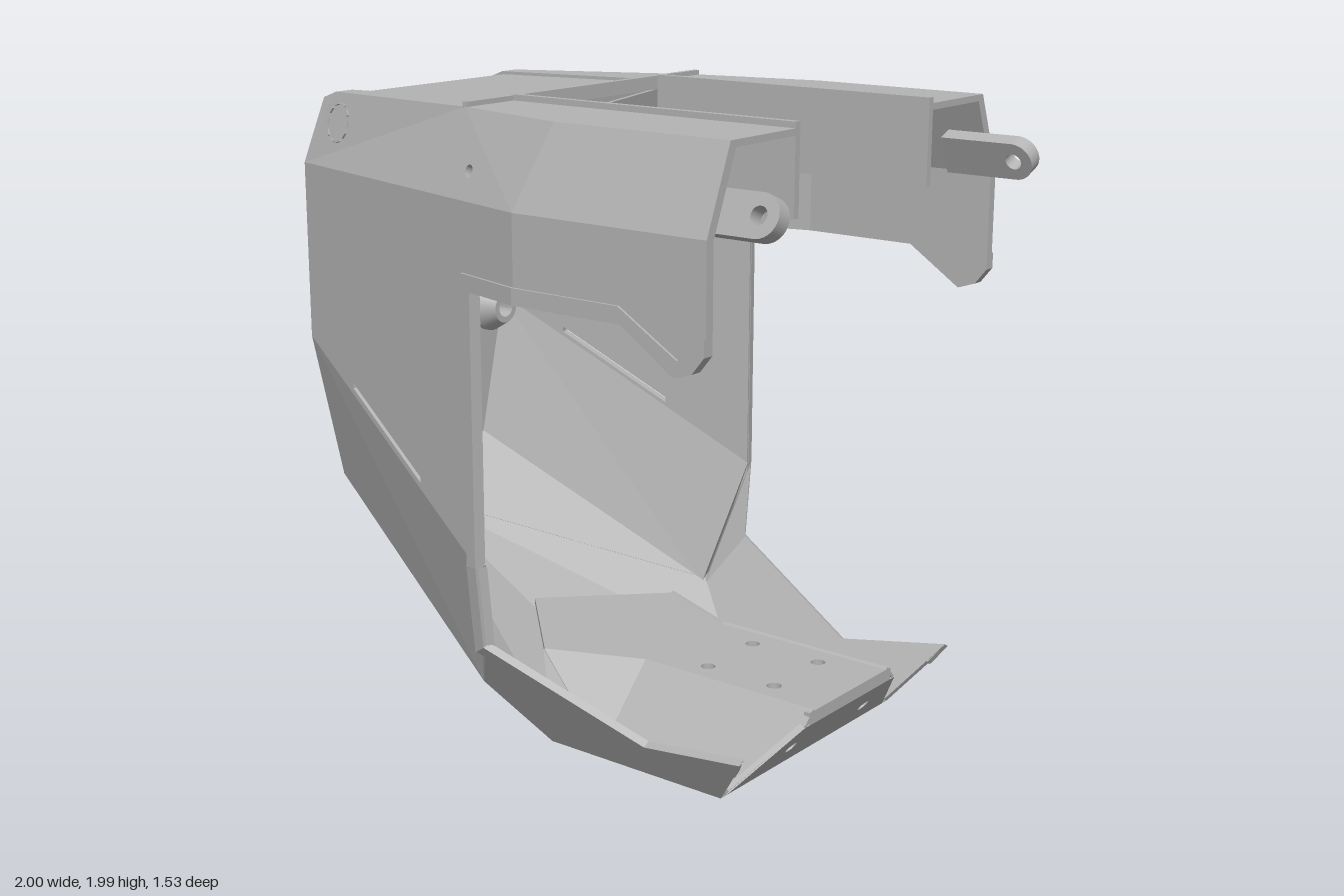
import * as THREE from 'three';
import { toCreasedNormals } from 'three/addons/utils/BufferGeometryUtils.js';

const V = (x, y, z) => new THREE.Vector3(x, y, z);
const CENTRE = V(-0.1, 1, 0);
const T = 0.03;

export function createModel() {
  const root = new THREE.Group();
  root.name = 'shell';
  const grey = new THREE.MeshStandardMaterial({ color: 0xb3b3b3 });
  grey.name = 'plain grey';

  const add = (name, geo) => {
    const m = new THREE.Mesh(geo, grey);
    m.name = name;
    root.add(m);
    return m;
  };

  // flat slab: outer face on the given corners, thickness going into the shell
  function panel(name, corners, holes = [], t = T) {
    const p = corners.map(c => V(...c));
    const n = V(0, 0, 0), mid = V(0, 0, 0);
    p.forEach((a, i) => {
      n.add(V(0, 0, 0).crossVectors(a, p[(i + 1) % p.length]));
      mid.addScaledVector(a, 1 / p.length);
    });
    n.normalize();
    if (n.dot(mid.clone().sub(CENTRE)) < 0) n.negate();
    const u = p[1].clone().sub(p[0]);
    u.addScaledVector(n, -u.dot(n)).normalize();
    const v = V(0, 0, 0).crossVectors(n, u);
    const flat = a => {
      const d = a.clone().sub(mid);
      return new THREE.Vector2(d.dot(u), d.dot(v));
    };
    const shape = new THREE.Shape(p.map(flat));
    holes.forEach(h => shape.holes.push(new THREE.Path(h.map(c => flat(V(...c))))));
    const geo = new THREE.ExtrudeGeometry(shape, { depth: t, bevelEnabled: false });
    geo.applyMatrix4(new THREE.Matrix4().makeBasis(u, v, n).setPosition(mid.addScaledVector(n, -t)));
    return add(name, geo);
  }
  const flip = list => list.map(([x, y, z]) => [x, y, -z]);
  const pair = (name, pts, holes = [], t = T) => {
    panel(name + 'Left', pts, holes, t);
    panel(name + 'Right', flip(pts), holes.map(flip), t);
  };
  // closed outline from one half plus its mirror image
  const whole = half => [...half, ...flip(half).reverse().filter(c => Math.abs(c[2]) > 1e-6)];
  const circle = (r, f, n = 20) => Array.from({ length: n }, (_, i) => {
    const a = i / n * Math.PI * 2;
    return f(r * Math.cos(a), r * Math.sin(a));
  });
  const box = (name, x0, x1, y0, y1, z0, z1) => {
    const g = new THREE.BoxGeometry(x1 - x0, y1 - y0, z1 - z0);
    g.translate((x0 + x1) / 2, (y0 + y1) / 2, (z0 + z1) / 2);
    return add(name, g);
  };

  // side walls, flaring until x = 0.15 and then parallel
  const wide = x => 0.46 + 0.257 * (Math.min(x, 0.15) + 1);
  const side = (pts, out = 0) => pts.map(([x, y]) => [x, y, wide(x) + out]);
  const slot = side([[-0.745, 1.045], [-0.36, 0.828], [-0.36, 0.81], [-0.745, 1.027]]);
  pair('sideWall', side([[-1, 1.72], [-1, 1.15], [-0.06, 0.62], [-0.06, 1.46], [0.15, 1.46], [0.15, 1.72]]), [slot]);
  pair('hoodSide', side([[0.15, 1.72], [0.15, 1.46], [0.54, 1.46], [0.72, 1.34], [0.78, 1.36],
    [0.82, 1.41], [0.82, 1.72]]));

  // chamfer between side walls and roof
  const A0 = [-1, 1.72, 0.46], A1 = [0.15, 1.72, wide(0.15)], A2 = [0.82, 1.72, wide(1)];
  const C0 = [-0.93, 1.93, 0.43], B0 = [-0.88, 1.95, 0.425], B1 = [-0.2, 1.967, 0.56];
  const B2 = [0.22, 1.967, 0.655], B3 = [0.82, 1.967, 0.655];
  pair('chamferCorner', [A0, C0, B0]);
  pair('chamferRear', [A0, B0, B1]);
  pair('chamferMiddle', [A0, B1, A1], [circle(0.018, (a, b) => [-0.1 + a, 1.8 + b, 0.657 - 0.43 * b + 0.257 * a])]);
  pair('chamferFold', [A1, B1, B2]);
  pair('chamferFront', [A1, B2, B3, A2]);

  // lower side panels and keel
  const R = [-1, 0.65, 0.34], Q = [-0.16, 0.19, 0.572], P = [0.02, 0, 0.46];
  const K0 = [-1, 0.47, 0], K1 = [-0.16, 0, 0], S = [-0.06, 0.62, 0.7], E = [-0.06, 0.36, 0.672];
  pair('lowerSideRear', [[-1, 1.15, 0.46], R, Q]);
  pair('lowerSideFront', [[-1, 1.15, 0.46], Q, S]);
  pair('lowerSideCorner', [S, Q, E]);
  pair('keelInner', [K0, K1, P]);
  pair('keelMiddle', [K0, P, Q]);
  pair('keelOuter', [K0, Q, R]);
  const low = (pts, out = 0) => pts.map(([x, y]) => [x, y, 0.46 + 0.588 * y + out]);
  pair('chinWing', low([[-0.16, 0.19], [0.02, 0], [0.67, 0], [0.82, 0.19], [0.45, 0.13], [-0.06, 0.36]]), [], 0.02);

  // raised rim round each side opening
  const o = 0.008;
  pair('rimRear', side([[-0.105, 0.62], [-0.06, 0.62], [-0.06, 1.46], [-0.105, 1.51]], o));
  pair('rimTop', side([[-0.105, 1.51], [-0.06, 1.46], [0.15, 1.46], [0.15, 1.51]], o));
  pair('rimHood', side([[0.15, 1.51], [0.15, 1.46], [0.54, 1.46], [0.72, 1.34], [0.78, 1.36], [0.82, 1.41],
    [0.82, 1.46], [0.77, 1.41], [0.73, 1.39], [0.53, 1.51]], o));
  pair('rimCorner', [[-0.105, 0.33], [-0.06, 0.36], [-0.06, 0.62], [-0.105, 0.62]]
    .map(([x, y]) => [x, y, 0.672 + 0.11 * (y - 0.36) + 0.2 * (x + 0.06) + o]));
  pair('rimChin', low([[-0.105, 0.33], [-0.06, 0.36], [0.45, 0.13], [0.82, 0.19], [0.78, 0.13], [0.45, 0.08]], o), [], 0.025);

  // rear wall with its stepped opening and lobes for the bosses
  const lobe = Array.from({ length: 9 }, (_, i) => {
    const a = Math.PI * (1.15 - i * 0.075);
    return [-1, 1.115 + 0.1 * Math.sin(a), 0.37 + 0.1 * Math.cos(a)];
  });
  const opening = whole([[-1, 0.51, 0], [-1, 0.65, 0.27], [-1, 1.05, 0.27], ...lobe, [-1, 1.22, 0.4],
    [-1, 1.5, 0.4], [-1, 1.53, 0.38], [-1, 1.53, 0.27], [-1, 1.61, 0.27], [-1, 1.62, 0.26]]);
  const bores = [1, -1].map(s => circle(0.034, (a, b) => [-1, 1.115 + a, s * 0.37 + b]));
  panel('rearWall', whole([K0, R, [-1, 1.15, 0.46], A0]), [opening, ...bores]);
  for (const s of [1, -1]) {
    const profile = [[0.034, 0], [0.09, 0], [0.09, 0.02], [0.055, 0.08], [0.034, 0.08], [0.034, 0]];
    const g = new THREE.LatheGeometry(profile.map(q => new THREE.Vector2(...q)), 32);
    g.rotateZ(-Math.PI / 2);
    add('boss', toCreasedNormals(g, 0.5)).position.set(-0.975, 1.115, s * 0.37);
  }

  // rear roof strips with a sunken centre panel: [x, y, half width]
  const roof = [[-1, 1.72, 0.46], [-0.98, 1.78, 0.452], C0, B0, [-0.26, 1.9655, 0.548], B1];
  for (let i = 0; i < 5; i++) {
    const [a, b] = [roof[i], roof[i + 1]];
    if (i === 0 || i === 4) panel('roofEdge', whole([a, b]));
    else {
      const at = (q, z) => [q[0], q[1], z];
      pair('roofStrip', [a, b, at(b, 0.355), at(a, 0.355)]);
      const sunk = q => [q[0] + 0.006, q[1] - 0.01, 0.356];
      panel('sunkenPanel', whole([sunk(a), sunk(b)]), [], 0.02);
    }
  }

  // front roof, cross rib and upright fins
  pair('frontRoof', [B1, B2, B3, [0.82, 1.967, 0.34], [-0.2, 1.967, 0.34]], [], 0.02);
  box('crossRib', -0.21, -0.19, 1.94, 1.982, -0.56, 0.56);
  for (const s of [1, -1]) box('fin', -0.19, 0.82, 1.72, 1.985, s * 0.348 - 0.011, s * 0.348 + 0.011);

  // chin floor, raised platform and slanted nose plate
  const bolts = y => [[0.37, 0.12], [0.62, 0.12], [0.37, -0.12], [0.62, -0.12]]
    .map(([x, z]) => circle(0.023, (a, b) => [x + a, y, z + b]));
  panel('floor', whole([K1, P, [0.67, 0, 0.46]]), bolts(0), 0.015);
  panel('platform', whole([[-0.45, 0.21, 0], [-0.12, 0.21, 0.33], [0.19, 0.21, 0.205], [0.82, 0.21, 0.205]]), bolts(0.21), 0.02);
  pair('platformSide', [[0.19, 0.23, 0.2], [0.82, 0.23, 0.2], [0.82, 0.19, 0.238], [0.67, 0, 0.42], [0.19, 0, 0.42]], [], 0.01);
  pair('platformFlare', [[0.19, 0.23, 0.2], [0.19, 0, 0.42], [-0.12, 0.23, 0.33]], [], 0.01);
  pair('platformTail', [[0.19, 0, 0.42], [0.02, 0, 0.455], [-0.12, 0.23, 0.33]], [], 0.01);
  const noseHoles = [1, -1].map(s => circle(0.023, (a, b) => [0.741 + a * 0.62, 0.09 + a * 0.785, s * 0.2 + b]));
  panel('nosePlate', whole([[0.67, 0, 0.43], [0.82, 0.19, 0.25]]), noseHoles, 0.02);
  box('noseLip', 0.8, 0.82, 0.19, 0.23, -0.225, 0.225);

  // tilted hinge lugs
  for (const s of [1, -1]) {
    const shape = new THREE.Shape();
    shape.moveTo(-0.24, -0.062);
    shape.lineTo(0, -0.062);
    shape.absarc(0, 0, 0.062, -Math.PI / 2, Math.PI / 2, false);
    shape.lineTo(-0.24, 0.062);
    shape.holes.push(new THREE.Path().absarc(0, 0, 0.026, 0, Math.PI * 2, true));
    const g = new THREE.ExtrudeGeometry(shape, { depth: 0.05, bevelEnabled: false, curveSegments: 16 });
    g.translate(0, 0, -0.025);
    g.rotateX(-s * 0.4);
    add('hingeLug', g).position.set(0.938, 1.78, s * 0.67);
  }

  // ring of shallow dashes on each rear corner
  for (const s of [1, -1]) for (let i = 0; i < 10; i++) {
    const a = i / 10 * Math.PI * 2;
    const x = -0.835 + 0.058 * Math.cos(a), y = 1.86 + 0.058 * Math.sin(a);
    const m = add('dash', new THREE.BoxGeometry(0.022, 0.005, 0.006));
    const z = 0.46 + 0.2493 * (x + 1) - 0.2606 * (y - 1.72);
    m.position.set(x, y, s * z);
    m.lookAt(x - 0.2493, y + 0.2606, s * (z + 1));
    m.rotateZ(s * (a + Math.PI / 2));
  }
  return root;
}
